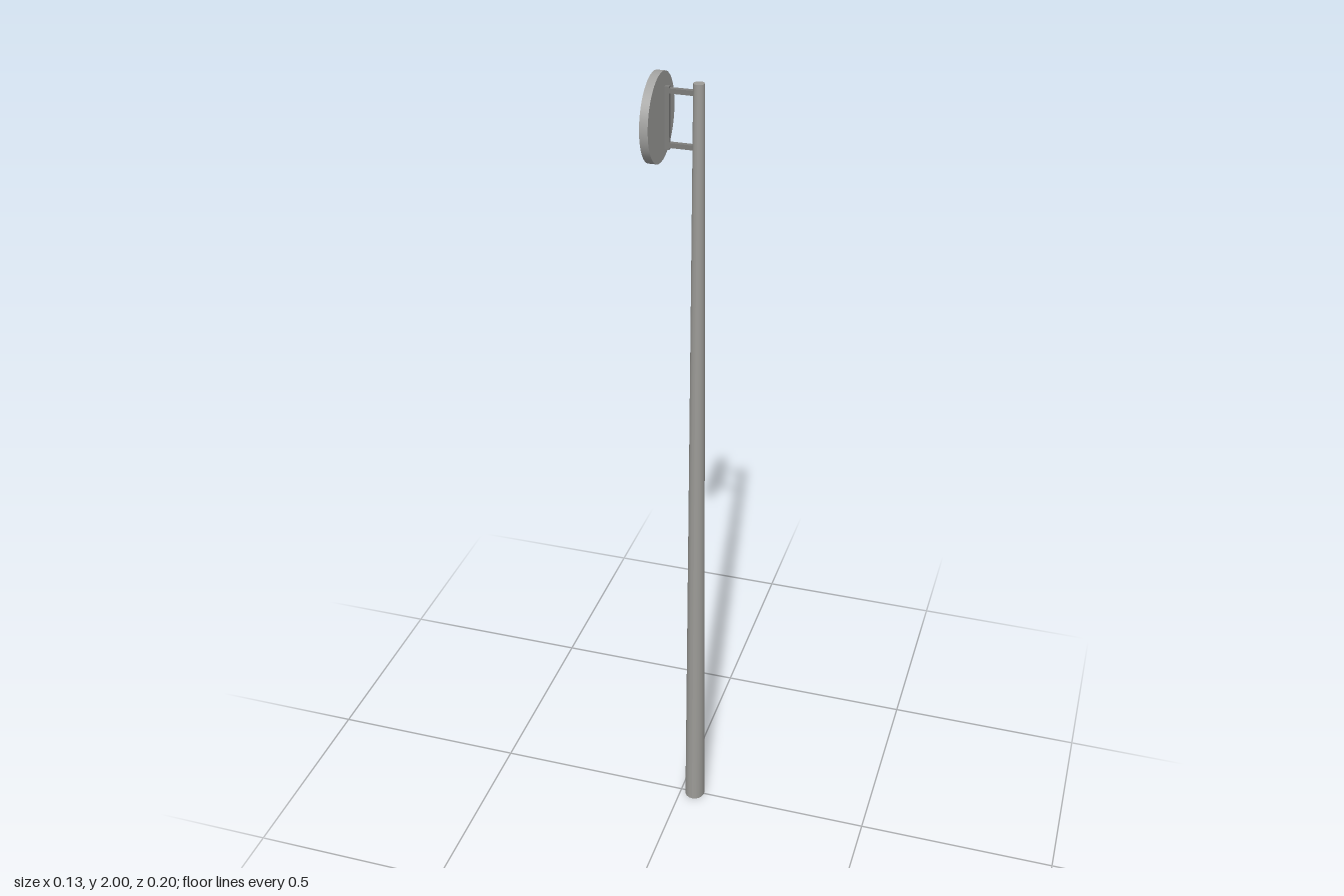
import * as THREE from 'three';

export function createModel() {
  const group = new THREE.Group();
  const material = (name, color) => {
    const m = new THREE.MeshStandardMaterial({ color });
    m.name = name;
    return m;
  };
  const poleGrey = material('poleGrey', 0x9c9b97);
  const dishGrey = material('dishGrey', 0xa3a3a1);
  const bracketGrey = material('bracketGrey', 0x7d7d7b);

  const add = (name, geometry, mat, x, y, z) => {
    const mesh = new THREE.Mesh(geometry, mat);
    mesh.name = name;
    mesh.position.set(x, y, z);
    group.add(mesh);
    return mesh;
  };

  // Tapered pole, slightly deeper than wide at the foot
  const height = 1.985;
  const poleGeometry = new THREE.CylinderGeometry(0.0125, 0.026, height, 18, 8);
  const p = poleGeometry.attributes.position;
  for (let i = 0; i < p.count; i++) {
    const down = 0.5 - p.getY(i) / height;
    p.setZ(i, p.getZ(i) * (1 + 0.12 * down));
  }
  poleGeometry.computeVertexNormals();
  add('pole', poleGeometry, poleGrey, 0.038, height / 2, -0.001);

  // Bracket: two arms joined by an upright
  for (const [name, y] of [['upperArm', 1.963], ['lowerArm', 1.842]]) {
    add(name, new THREE.BoxGeometry(0.062, 0.011, 0.0105), bracketGrey, 0.002, y, -0.002);
  }
  add('bracketUpright', new THREE.BoxGeometry(0.0105, 0.14, 0.0105), bracketGrey, -0.032, 1.902, -0.002);

  // Round plate facing sideways, turned very slightly
  const dishGeometry = new THREE.CylinderGeometry(0.099, 0.099, 0.019, 48);
  dishGeometry.rotateZ(Math.PI / 2);
  const dish = add('dish', dishGeometry, dishGrey, -0.055, 1.901, -0.001);
  dish.rotation.y = 0.01;

  return group;
}
